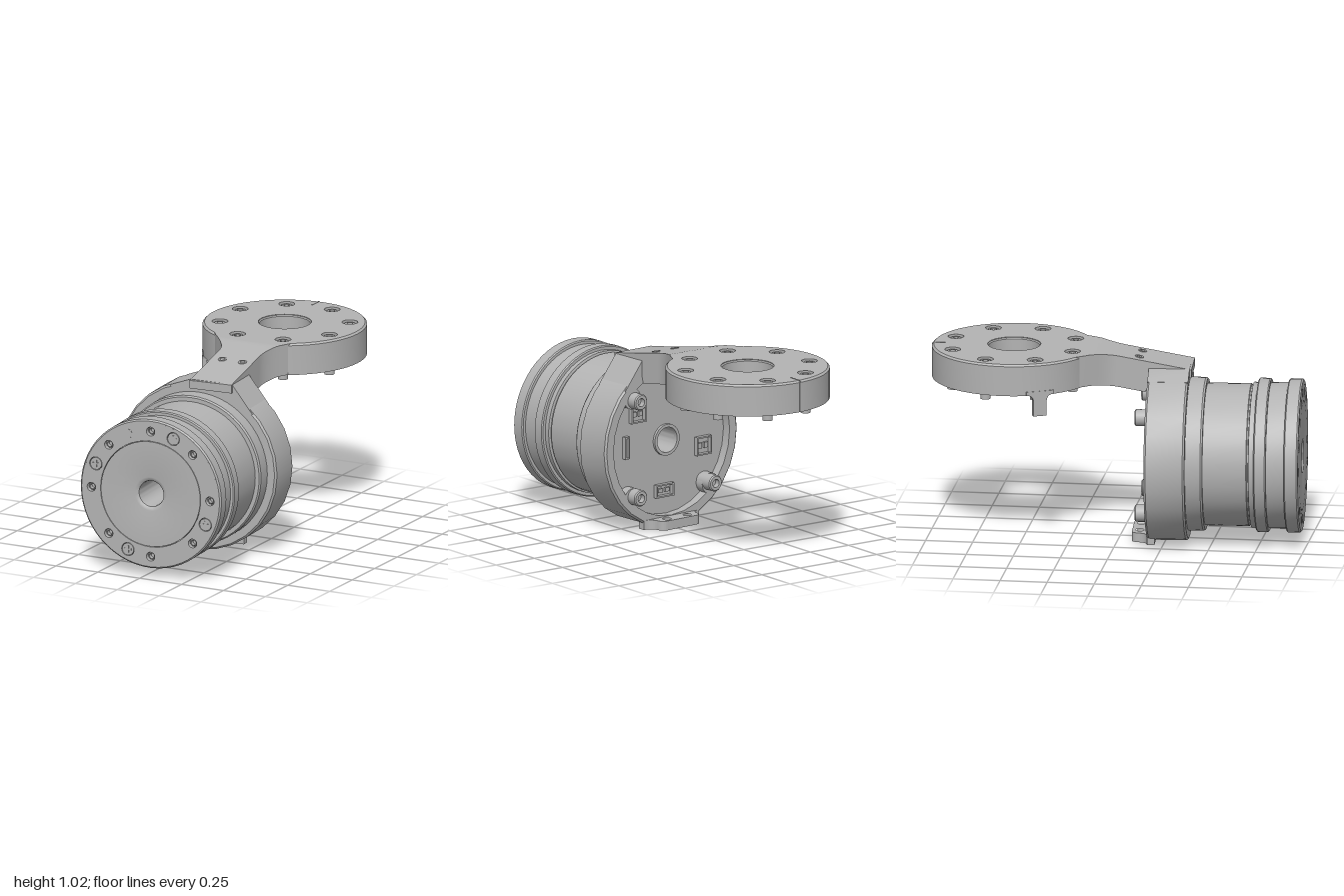
import * as THREE from 'three';
import { toCreasedNormals } from 'three/addons/utils/BufferGeometryUtils.js';

const metal = new THREE.MeshStandardMaterial({ color: 0xb3b3b3 });
metal.name = 'grey metal';

function add(parent, name, geo, x = 0, y = 0, z = 0) {
  const m = new THREE.Mesh(geo, metal);
  m.name = name;
  m.position.set(x, y, z);
  parent.add(m);
  return m;
}
// closed (radius, height) profile turned round y, edges kept sharp
function turned(profile, sides = 48) {
  const pts = profile.map(([r, h]) => new THREE.Vector2(r, h));
  return toCreasedNormals(new THREE.LatheGeometry(pts, sides), 0.5);
}
const turnedZ = (profile, sides) => turned(profile, sides).rotateX(Math.PI / 2);

function circleHole(x, y, r) {
  return new THREE.Path().absarc(x, y, r, 0, Math.PI * 2, true);
}
function plate(shape, depth) {
  return toCreasedNormals(new THREE.ExtrudeGeometry(shape, { depth, bevelEnabled: false, curveSegments: 24 }), 0.5);
}
const polar = (r, deg) => [r * Math.cos(deg * Math.PI / 180), r * Math.sin(deg * Math.PI / 180)];
// screw with a six-sided socket, head at the top
const socketScrew = (r, rs, from, to) => [[0, from], [r, from], [r, to - 0.006], [r - 0.006, to], [rs, to], [rs, to - 0.03], [0, to - 0.03]];

function createMotor() {
  const g = new THREE.Group();
  g.name = 'motor';

  add(g, 'motorBody', turnedZ([
    [0.068, 0.05], [0.4, 0.05], [0.4, 0.21], [0.405, 0.21], [0.405, 0.295], [0.398, 0.305], [0.376, 0.305],
    [0.376, 0.535], [0.37, 0.538], [0.37, 0.545], [0.384, 0.548], [0.384, 0.575], [0.4, 0.575], [0.406, 0.581],
    [0.406, 0.634], [0.4, 0.64], [0.385, 0.64], [0.385, 0.735], [0.4, 0.735], [0.406, 0.741], [0.406, 0.802],
    [0.398, 0.81], [0.394, 0.81], [0.394, 0.77], [0.286, 0.77], [0.286, 0.81], [0.092, 0.81], [0.08, 0.807],
    [0.071, 0.8], [0.068, 0.788], [0.068, 0.05]], 56));

  // front ring with bolt holes
  const ring = new THREE.Shape().absarc(0, 0, 0.3945, 0, Math.PI * 2);
  ring.holes.push(circleHole(0, 0, 0.289));
  for (let i = 0; i < 8; i++) {
    const [x, y] = polar(0.342, i * 45);
    ring.holes.push(circleHole(x, y, 0.024));
    add(g, 'boltSocket', turnedZ(socketScrew(0.022, 0.014, 0.76, 0.795), 12), x, y);
  }
  for (let i = 0; i < 4; i++) {
    const [x, y] = polar(0.342, 67.5 + i * 90);
    ring.holes.push(circleHole(x, y, 0.036));
    add(g, 'crossScrew', new THREE.CylinderGeometry(0.033, 0.033, 0.045, 20).rotateX(Math.PI / 2), x, y, 0.787);
    add(g, 'crossSlot', new THREE.BoxGeometry(0.038, 0.01, 0.004), x, y, 0.811);
    add(g, 'crossSlot', new THREE.BoxGeometry(0.01, 0.038, 0.004), x, y, 0.811);
  }
  const [dx, dy] = polar(0.342, 112.5);
  add(g, 'facePlug', new THREE.CylinderGeometry(0.025, 0.025, 0.004, 20).rotateX(Math.PI / 2), dx, dy, 0.81);
  add(g, 'faceRing', plate(ring, 0.038), 0, 0, 0.772);

  // clamp ring round the rear of the motor
  add(g, 'clampRing', turnedZ([[0.4, 0], [0.447, 0], [0.457, 0.01], [0.457, 0.205], [0.447, 0.215],
    [0.4, 0.215], [0.4, 0]], 28));
  // saddle joining ring and arm
  const saddle = new THREE.Shape();
  saddle.moveTo(...polar(0.45, 45));
  saddle.lineTo(0.2, 0.47);
  saddle.lineTo(-0.04, 0.47);
  saddle.lineTo(...polar(0.455, 110));
  saddle.lineTo(...polar(0.41, 110));
  saddle.absarc(0, 0, 0.41, 110 * Math.PI / 180, Math.PI / 4, true);
  add(g, 'saddle', plate(saddle, 0.215));

  // rear cap screws in lobes of the ring
  for (const sx of [-1, 1]) for (const sy of [-1, 1]) {
    const screw = socketScrew(0.044, 0.022, -0.08, 0.058);
    add(g, 'rearScrew', turned(screw, 24).rotateX(-Math.PI / 2), sx * 0.257, sy * 0.26);
    add(g, 'screwLobe', new THREE.CylinderGeometry(0.056, 0.056, 0.06, 24).rotateX(Math.PI / 2), sx * 0.267, sy * 0.27, 0.03);
  }
  // tab under the ring with two holes
  const tab = new THREE.Shape();
  tab.moveTo(-0.19, -0.04);
  tab.lineTo(-0.19, 0);
  tab.quadraticCurveTo(-0.14, 0, -0.135, 0.05);
  tab.quadraticCurveTo(-0.13, 0.085, -0.095, 0.085);
  tab.lineTo(0.095, 0.085);
  tab.quadraticCurveTo(0.13, 0.085, 0.135, 0.05);
  tab.quadraticCurveTo(0.14, 0, 0.19, 0);
  tab.lineTo(0.19, -0.04);
  for (const s of [-1, 1]) tab.holes.push(circleHole(s * 0.07, 0.045, 0.023));
  add(g, 'lowerTab', plate(tab, 0.05).rotateX(-Math.PI / 2), 0, -0.452, 0);

  // rear collar and connectors
  add(g, 'rearCollar', turnedZ([[0.068, 0.035], [0.085, 0.035], [0.085, 0.06], [0.068, 0.06], [0.068, 0.035]], 32));
  const sockets = [[-0.25, -0.07, 0.1, 0.1], [0.02, -0.27, 0.12, 0.07], [0.2, 0.17, 0.1, 0.09], [0.28, 0, 0.03, 0.12]];
  for (const [x, y, w, h] of sockets) {
    const s = new THREE.Shape();
    s.moveTo(-w / 2, -h / 2); s.lineTo(w / 2, -h / 2); s.lineTo(w / 2, h / 2); s.lineTo(-w / 2, h / 2);
    const a = w / 2 - 0.008, b = h / 2 - 0.008;
    s.holes.push(new THREE.Path([[-a, -b], [-a, b], [a, b], [a, -b]].map(p => new THREE.Vector2(...p))));
    add(g, 'connectorShell', plate(s, 0.03), x, y, 0.025);
    for (const k of [-1, 1]) {
      const v = h > w;
      add(g, 'connectorPin', new THREE.BoxGeometry(w * (v ? 0.3 : 0.25), h * 0.3, 0.015), x + (v ? 0 : k * w * 0.2), y + (v ? k * h * 0.2 : 0), 0.045);
    }
  }
  add(g, 'rearPad', new THREE.BoxGeometry(0.09, 0.08, 0.008), -0.08, 0.27, 0.048);
  return g;
}

const CX = 0.025, CZ = -0.567, R = 0.433;

function createArm() {
  const g = new THREE.Group();
  g.name = 'arm';

  // round plate with a hanging wall, open below
  const top = new THREE.Shape().absarc(0, 0, 0.415, 0, Math.PI * 2);
  top.holes.push(circleHole(0, 0, 0.14));
  for (let i = 0; i < 8; i++) {
    const [x, y] = polar(0.342, 71.6 + i * 45);
    top.holes.push(circleHole(x, y, 0.042));
    add(g, 'plateScrew', turned(socketScrew(0.033, 0.016, 0.95, 1.008), 20), CX + x, 0, CZ - y);
    add(g, 'screwShaft', new THREE.CylinderGeometry(0.027, 0.027, 0.17, 20), CX + x, 0.885, CZ - y);
    add(g, 'screwSeat', new THREE.CylinderGeometry(0.046, 0.046, 0.012, 20), CX + x, 0.967, CZ - y);
  }
  add(g, 'topPlate', plate(top, 0.05).rotateX(-Math.PI / 2), CX, 0.965, CZ);
  add(g, 'plateWall', turned([[0.405, 0.845], [R, 0.845], [R, 1.005], [R - 0.01, 1.015], [0.41, 1.015],
    [0.405, 0.97], [0.405, 0.845]], 56), CX, 0, CZ);
  add(g, 'centreHub', turned([[0.135, 0.93], [0.155, 0.93], [0.155, 0.975], [0.15, 1.015], [0.143, 1.015],
    [0.135, 1.005], [0.135, 0.93]]), CX, 0, CZ);
  add(g, 'indexMark', new THREE.BoxGeometry(0.006, 0.004, 0.08), 0, 1.015, -0.955);
  add(g, 'indexMarkSide', new THREE.BoxGeometry(0.006, 0.165, 0.004), 0, 0.93, -0.999);

  // small hanging hook with a flared root
  const hook = new THREE.Shape();
  hook.moveTo(-0.075, 0.02);
  hook.lineTo(-0.075, 0);
  hook.quadraticCurveTo(-0.036, 0, -0.036, -0.04);
  hook.lineTo(-0.036, -0.115);
  hook.lineTo(0.036, -0.115);
  hook.lineTo(0.036, -0.04);
  hook.quadraticCurveTo(0.036, 0, 0.075, 0);
  hook.lineTo(0.075, 0.02);
  const h = add(g, 'hook', plate(hook, 0.026), CX - 0.366, 0.847, CZ + 0.18);
  h.rotation.y = -Math.PI / 2 + 0.45;

  // neck: flares into the round plate and slopes down to the saddle
  const neck = new THREE.BoxGeometry(1, 1, 1, 14, 1, 24);
  const p = neck.attributes.position;
  for (let i = 0; i < p.count; i++) {
    const u = p.getX(i) + 0.5, v = p.getZ(i) + 0.5, isTop = p.getY(i) > 0;
    const row = -0.2 + 0.575 * v;
    const flare = Math.max(0, -row / 0.2) ** 2, lean = 0.068 * Math.max(0, row);
    const x = THREE.MathUtils.lerp(-0.06 - 0.15 * flare, 0.182 + 0.073 * flare, u) + lean;
    const arc = CZ + Math.sqrt(0.42 ** 2 - (x - CX) ** 2);
    const z = row + (arc + 0.2) * Math.max(0, 1 - v) ** 4 - 0.05 * (u - 0.5) * 0.3 * v;
    const drop = 0.18 * Math.max(0, z + 0.13);
    p.setXYZ(i, x, isTop ? 1.015 - drop : z > 0.145 ? 0.88 : 0.847 - drop, z);
  }
  add(g, 'neck', toCreasedNormals(neck, 0.5));
  // screw holes on the neck
  for (const x of [0.01, 0.13]) {
    const rim = add(g, 'neckHoleRim', turned([[0.014, -0.004], [0.023, -0.004], [0.023, 0.003], [0.014, 0.003], [0.014, -0.004]], 20), x, 0.974, 0.1);
    rim.rotation.x = 0.178;
  }
  return g;
}

export function createModel() {
  const model = new THREE.Group();
  model.name = 'motorWithMountingArm';
  const motor = createMotor();
  motor.position.set(-0.01, 0.457, 0.155);
  motor.rotation.y = 0.068;
  model.add(motor, createArm());
  return model;
}
